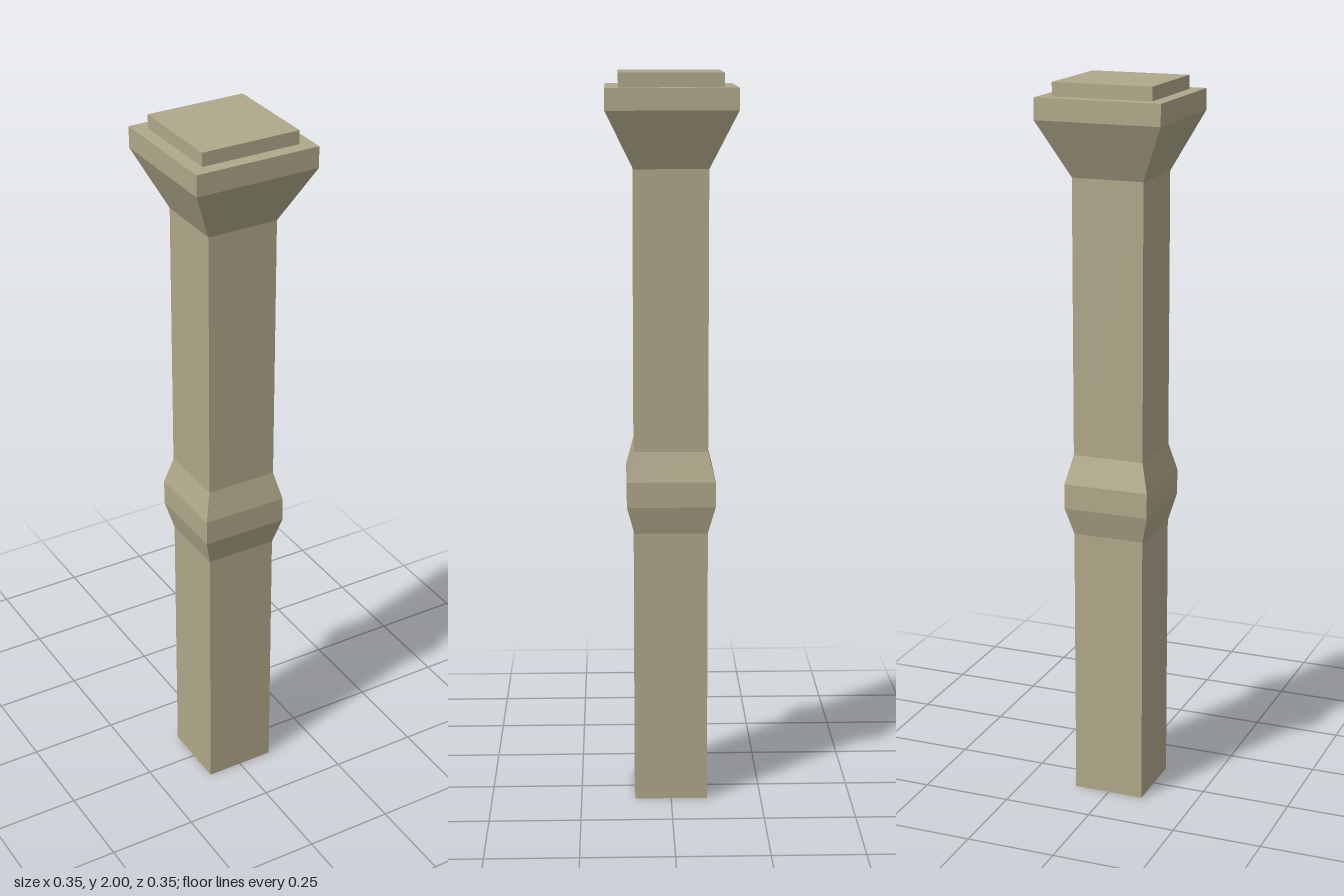
import * as THREE from 'three';

const material = new THREE.MeshStandardMaterial({ color: 0xb0a88a, flatShading: true });

// Square frustum between two heights; half widths at bottom and top
function squareSection(y0, y1, half0, half1, open = true) {
  const geometry = new THREE.CylinderGeometry(
    half1 * Math.SQRT2, half0 * Math.SQRT2, y1 - y0, 4, 1, open, Math.PI / 4
  ).toNonIndexed();
  geometry.computeVertexNormals();
  geometry.translate(0, (y0 + y1) / 2, 0);
  return geometry;
}

export function createModel() {
  const group = new THREE.Group();
  group.name = 'squareColumn';

  const add = (name, ...section) => {
    const mesh = new THREE.Mesh(squareSection(...section), material);
    mesh.name = name;
    group.add(mesh);
  };

  // Shaft, split by a bevelled collar
  add('lowerShaft', 0, 0.765, 0.1, 0.1, false);
  add('collarLowerBevel', 0.765, 0.842, 0.1, 0.12);
  add('collarBand', 0.842, 0.912, 0.12, 0.12);
  add('collarUpperBevel', 0.912, 0.992, 0.12, 0.1);
  add('upperShaft', 0.992, 1.75, 0.1, 0.1);

  // Flared capital, slab and top plate
  add('capitalFlare', 1.75, 1.905, 0.1, 0.174);
  add('capitalSlab', 1.905, 1.963, 0.174, 0.174, false);
  add('topPlate', 1.963, 2, 0.138, 0.138, false);

  return group;
}
